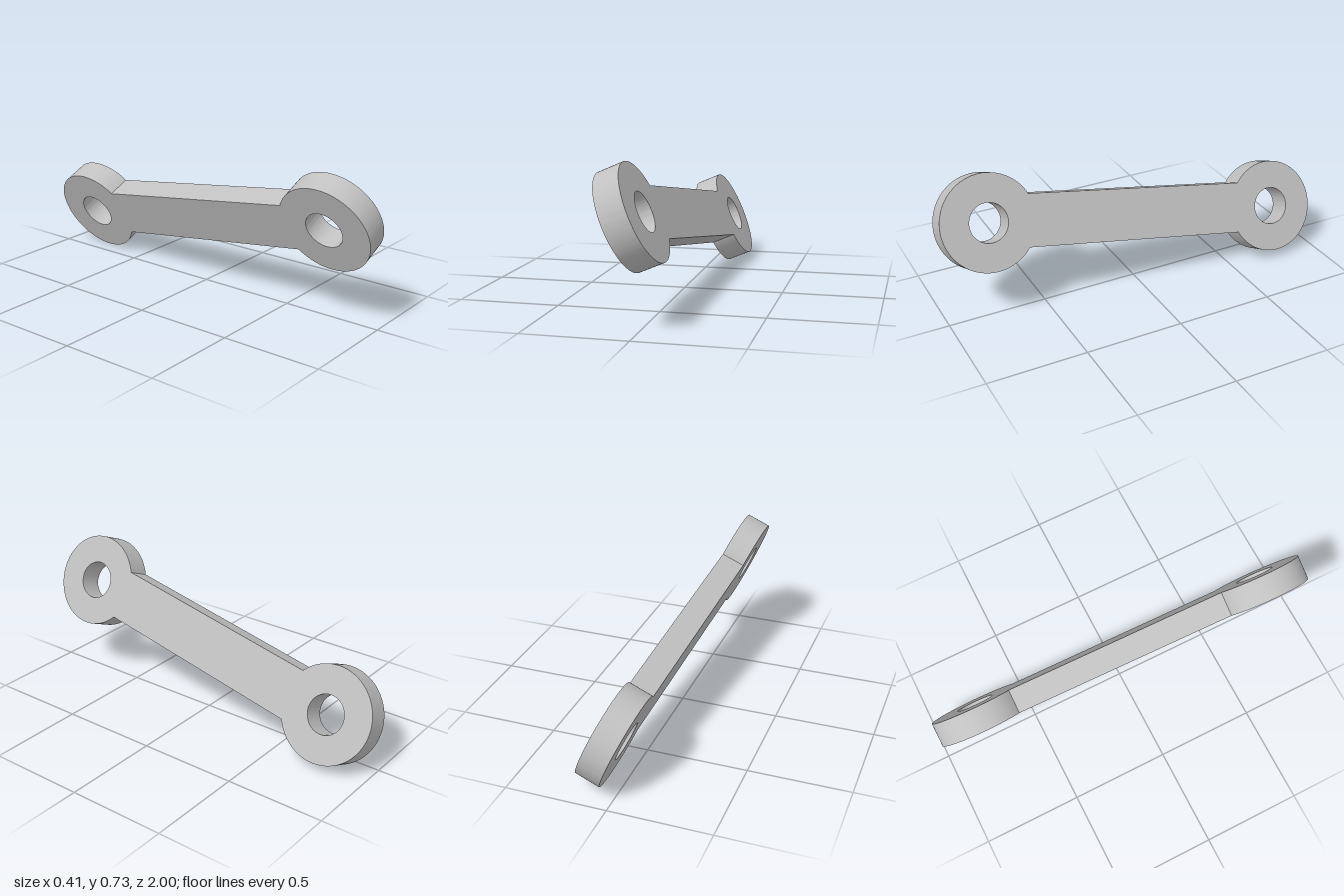
import * as THREE from 'three';
import { toCreasedNormals } from 'three/addons/utils/BufferGeometryUtils.js';

export function createModel() {
  const metal = new THREE.MeshStandardMaterial({ color: 0xc0c0c0 });
  metal.name = 'plain grey metal';

  const span = 0.774;      // half the distance between eye centres
  const eyeRadius = 0.237;
  const holeRadius = 0.096;
  const barHalf = 0.129;   // half the width of the bar
  const thickness = 0.125;
  const neck = Math.asin(barHalf / eyeRadius); // where the bar meets an eye

  // Outline: two round eyes joined by a straight bar
  const outline = new THREE.Shape();
  outline.absarc(span, 0, eyeRadius, -Math.PI + neck, Math.PI - neck, false);
  outline.absarc(-span, 0, eyeRadius, neck, Math.PI * 2 - neck, false);
  outline.closePath();
  for (const side of [-1, 1]) {
    const hole = new THREE.Path();
    hole.absarc(side * span, 0, holeRadius, 0, Math.PI * 2, true);
    outline.holes.push(hole);
  }

  const geometry = new THREE.ExtrudeGeometry(outline, {
    depth: thickness, bevelEnabled: false, curveSegments: 72,
  });
  geometry.translate(0, 0, -thickness / 2);

  const link = new THREE.Mesh(toCreasedNormals(geometry, Math.PI / 6), metal);
  link.name = 'linkArm';
  link.rotation.z = -Math.atan2(0.1335, 0.763); // slope of the bar within its plane

  // Leaning plane of the whole arm
  const lean = THREE.MathUtils.degToRad(23.45);
  const c = Math.cos(lean), s = Math.sin(lean);
  const tilt = new THREE.Group();
  tilt.name = 'leaningArm';
  tilt.quaternion.setFromRotationMatrix(new THREE.Matrix4().makeBasis(
    new THREE.Vector3(0, 0, -1), new THREE.Vector3(-s, c, 0), new THREE.Vector3(c, s, 0)));
  tilt.position.y = 0.366;
  tilt.add(link);

  const model = new THREE.Group();
  model.name = 'connectingLink';
  model.add(tilt);
  return model;
}
